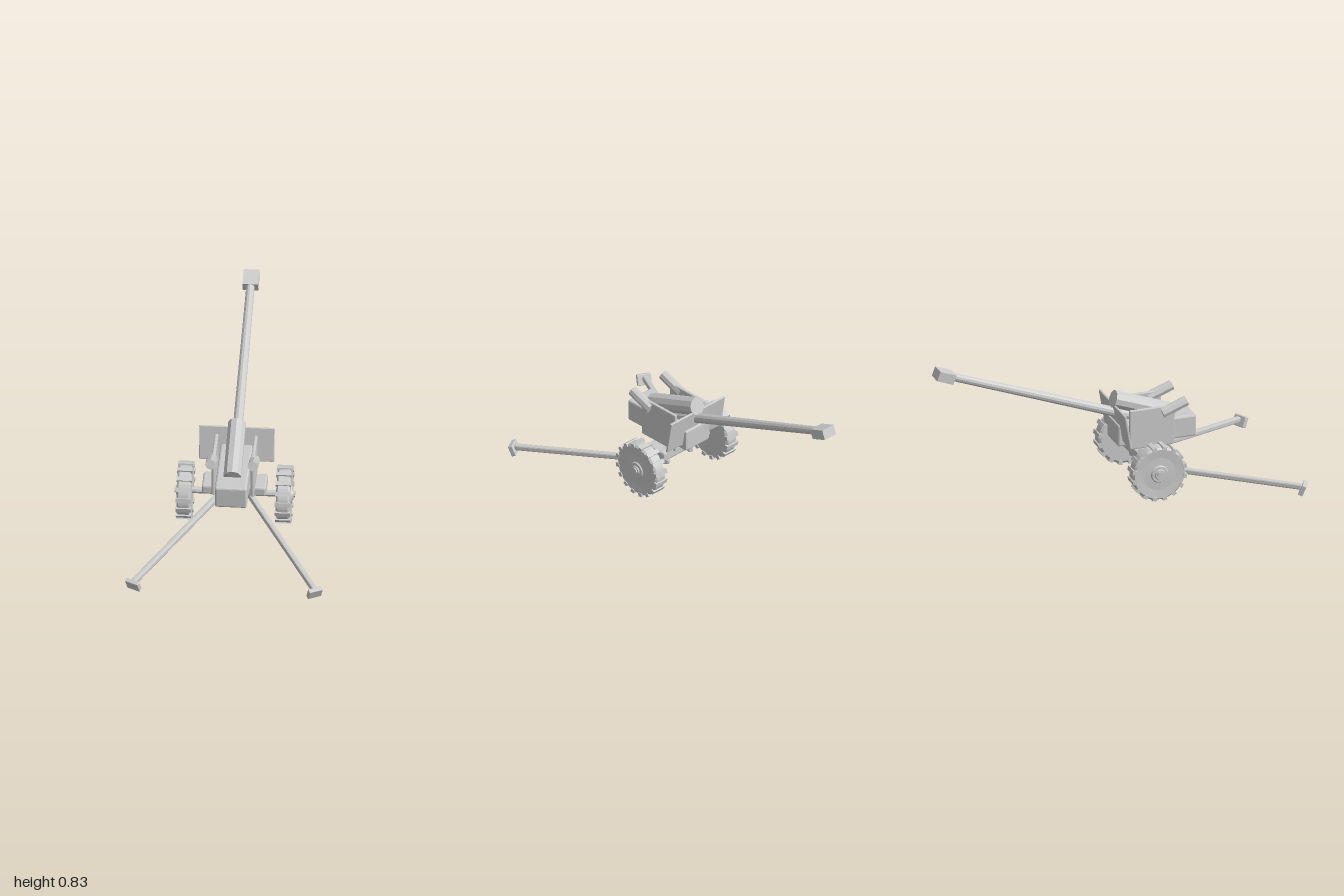
import * as THREE from 'three';
import { RoundedBoxGeometry } from 'three/addons/geometries/RoundedBoxGeometry.js';

const mat = new THREE.MeshStandardMaterial({ color: 0xcccccc, flatShading: true });
const V = (x, y, z) => new THREE.Vector3(x, y, z);

function add(parent, name, geometry, x = 0, y = 0, z = 0) {
  const mesh = new THREE.Mesh(geometry, mat);
  mesh.name = name;
  mesh.position.set(x, y, z);
  parent.add(mesh);
  return mesh;
}

// Box with small chamfered edges
const chamferBox = (w, h, d, r = 0.006) => new RoundedBoxGeometry(w, h, d, 1, r);

// Straight cylinder from a to b, tapering from ra to rb
function rod(parent, name, a, b, ra, rb, sides) {
  const dir = b.clone().sub(a);
  const mid = a.clone().add(b).multiplyScalar(0.5);
  const mesh = add(parent, name, new THREE.CylinderGeometry(rb, ra, dir.length(), sides), mid.x, mid.y, mid.z);
  mesh.quaternion.setFromUnitVectors(V(0, 1, 0), dir.normalize());
  return mesh;
}

// Wheel with its axis on local y, outer face towards +y
function makeWheel() {
  const wheel = new THREE.Group();
  const profile = [
    [0, -0.037], [0.14, -0.037], [0.152, -0.028], [0.152, 0.028], [0.143, 0.038],
    [0.094, 0.034], [0.05, 0.036], [0.045, 0.043], [0.03, 0.043], [0.026, 0.05], [0, 0.05],
  ].map(([r, y]) => new THREE.Vector2(r, y));
  add(wheel, 'tyreAndHub', new THREE.LatheGeometry(profile, 32));
  const count = 16;
  for (let i = 0; i < count; i++) {
    const a = (i + 0.5) / count * Math.PI * 2;
    const tread = add(wheel, 'tread', new THREE.BoxGeometry(0.024, 0.084, 0.022),
      Math.sin(a) * 0.148, 0, Math.cos(a) * 0.148);
    tread.rotation.y = a;
  }
  return wheel;
}

export function createModel() {
  const gun = new THREE.Group();
  gun.name = 'fieldGun';
  const pitch = THREE.MathUtils.degToRad(20.3);

  // Barrel, muzzle block and recoil cylinder, all at the same elevation
  rod(gun, 'barrel', V(0, 0.371, 0.2), V(0, 0.777, -0.9), 0.028, 0.023, 12);
  add(gun, 'muzzleBrake', new THREE.BoxGeometry(0.085, 0.056, 0.1), 0, 0.788, -0.939).rotation.x = pitch;
  rod(gun, 'recoilCylinder', V(0, 0.381, 0.378), V(0, 0.506, 0.038), 0.05, 0.05, 10);

  // Cradle, carriage and shield
  add(gun, 'breechCradle', chamferBox(0.174, 0.126, 0.455, 0.01), 0, 0.317, 0.263);
  add(gun, 'carriageBase', chamferBox(0.35, 0.055, 0.145, 0.01), 0, 0.212, 0.192);
  add(gun, 'shield', chamferBox(0.41, 0.2, 0.013, 0.004), 0, 0.383, 0.052).rotation.x = -0.17;
  rod(gun, 'axle', V(-0.328, 0.163, 0.195), V(0.328, 0.163, 0.195), 0.018, 0.018, 8);

  for (const s of [1, -1]) {
    const side = s > 0 ? 'left' : 'right';

    // Side plate and sighting tube
    add(gun, side + 'SidePlate', chamferBox(0.019, 0.23, 0.26), s * 0.107, 0.355, 0.223);
    rod(gun, side + 'SightTube', V(s * 0.116, 0.432, 0.28), V(s * 0.116, 0.485, 0.42), 0.029, 0.029, 8);

    // Wheel
    const wheel = makeWheel();
    wheel.name = side + 'Wheel';
    wheel.position.set(s * 0.27, 0.16, 0.195);
    wheel.rotation.z = -s * Math.PI / 2;
    gun.add(wheel);

    // Trail leg with ground spade
    const start = V(s * 0.08, 0.13, 0.17), end = V(s * 0.495, 0.05, 0.95);
    const mid = start.clone().add(end).multiplyScalar(0.5);
    const leg = add(gun, side + 'TrailLeg', chamferBox(0.032, 0.032, start.distanceTo(end), 0.008), mid.x, mid.y, mid.z);
    leg.lookAt(end);
    const spade = add(gun, side + 'Spade', chamferBox(0.08, 0.062, 0.026, 0.004), s * 0.494, 0.039, 0.957);
    spade.rotation.order = 'YXZ';
    spade.rotation.set(0.4, Math.atan2(end.x - start.x, end.z - start.z), 0);
  }
  return gun;
}
